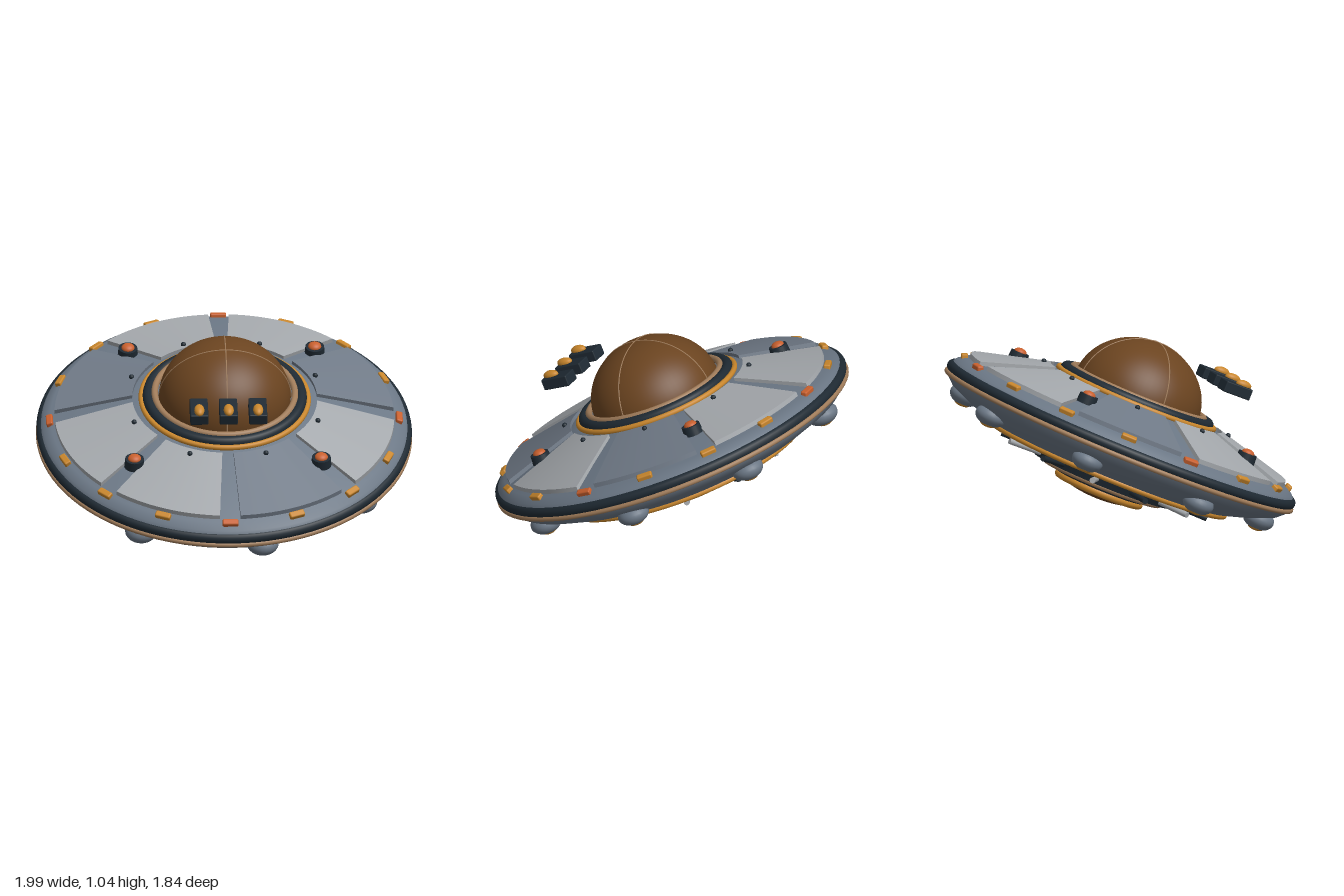
import * as THREE from 'three';
import { RoundedBoxGeometry } from 'three/addons/geometries/RoundedBoxGeometry.js';

const mat = (name, color) => {
  const m = new THREE.MeshStandardMaterial({ color });
  m.name = name;
  return m;
};

export function createModel() {
  const hullGrey = mat('hull grey', 0x6b7785);
  const panelLight = mat('light panel grey', 0xa3a7ab);
  const panelMid = mat('mid panel grey', 0x707a87);
  const dark = mat('dark slate', 0x1f2a33);
  const gold = mat('gold', 0xc8862c);
  const copper = mat('copper', 0xa07c5a);
  const orange = mat('signal orange', 0xc8602e);
  const amber = mat('amber glass', 0x6b4420);

  const model = new THREE.Group();
  model.name = 'saucer';
  const ship = new THREE.Group();
  ship.name = 'tiltedShip';
  ship.position.y = 0.493;
  ship.rotation.x = THREE.MathUtils.degToRad(24);
  model.add(ship);

  const add = (parent, name, geometry, material, x = 0, y = 0, z = 0) => {
    const mesh = new THREE.Mesh(geometry, material);
    mesh.name = name;
    mesh.position.set(x, y, z);
    parent.add(mesh);
    return mesh;
  };
  const ring = (name, radius, tube, y, material) => {
    const geometry = new THREE.TorusGeometry(radius, tube, 12, 96).rotateX(Math.PI / 2);
    return add(ship, name, geometry, material, 0, y, 0);
  };
  // Repeats a part around the axis; angles start at the front and run towards +x
  const around = (name, count, offset, build) => {
    for (let i = 0; i < count; i++) {
      const arm = new THREE.Group();
      arm.name = name;
      arm.rotation.y = THREE.MathUtils.degToRad(offset + (i * 360) / count);
      ship.add(arm);
      build(arm, i);
    }
  };
  const ellipsoid = (rx, ry, rz) => new THREE.SphereGeometry(1, 24, 16).scale(rx, ry, rz);

  // Hull: one turned profile from the belly over the rim to the top
  const profile = [
    [0, -0.19], [0.4, -0.19], [0.52, -0.18], [0.665, -0.158], [0.8, -0.115], [0.93, -0.06],
    [0.985, -0.01], [0.985, 0.04], [0.96, 0.072], [0.92, 0.1], [0.7, 0.166], [0.49, 0.223],
    [0.4, 0.24], [0, 0.24],
  ].map(([r, y]) => new THREE.Vector2(r, y));
  add(ship, 'hull', new THREE.LatheGeometry(profile, 96), hullGrey);
  ring('rimBand', 0.965, 0.03, 0.03, dark);
  ring('rimTrim', 0.983, 0.014, -0.002, copper);

  // Raised deck panels: boxes bent into ring sectors on the sloping deck
  const panelGeometry = () => {
    const g = new THREE.BoxGeometry(1, 1, 1, 14, 1, 4);
    const p = g.attributes.position;
    const half = THREE.MathUtils.degToRad(19);
    for (let i = 0; i < p.count; i++) {
      const a = p.getX(i) * 2 * half;
      const r = 0.695 + p.getZ(i) * 0.41;
      const y = 0.243 - (r - 0.49) * 0.275 + (p.getY(i) - 0.5) * 0.04;
      p.setXYZ(i, Math.sin(a) * r, y, Math.cos(a) * r);
    }
    g.computeVertexNormals();
    return g;
  };
  const midPanels = [0, 2, 5];
  around('deckPanel', 8, 22.5, (arm, i) => {
    add(arm, 'panel', panelGeometry(), midPanels.includes(i) ? panelMid : panelLight);
    add(arm, 'panelStud', new THREE.SphereGeometry(0.014, 12, 8), dark, 0, 0.237, 0.527);
  });

  // Lamps along the rim, with orange ones at the four quarters
  around('rimLamp', 16, 0, (arm, i) => {
    const lamp = add(arm, 'lamp', new RoundedBoxGeometry(0.084, 0.034, 0.036, 2, 0.008),
      i % 4 === 0 ? orange : gold, 0, 0.1, 0.925);
    lamp.rotation.x = 0.35;
  });

  // Four beacons on the deck diagonals
  around('beacon', 4, 45, (arm) => {
    add(arm, 'beaconBase', new THREE.CylinderGeometry(0.05, 0.054, 0.05, 24), dark, 0, 0.187, 0.7);
    add(arm, 'beaconLight', ellipsoid(0.035, 0.022, 0.035), orange, 0, 0.212, 0.7);
  });

  // Cockpit dome, its seams and collar rings
  const dome = new THREE.SphereGeometry(1, 64, 24, 0, Math.PI * 2, 0, Math.PI / 2);
  add(ship, 'cockpitDome', dome.scale(0.35, 0.31, 0.35), amber, 0, 0.247, 0);
  for (const turn of [0, Math.PI / 2]) {
    const seam = new THREE.TorusGeometry(1, 0.01, 6, 64, Math.PI).rotateY(turn);
    add(ship, 'domeSeam', seam.scale(0.35, 0.31, 0.35), copper, 0, 0.247, 0);
  }
  ring('collarGold', 0.442, 0.015, 0.24, gold);
  ring('collarDark', 0.405, 0.03, 0.252, dark);
  ring('collarCopper', 0.372, 0.018, 0.272, copper);

  // Three hovering control pods ahead of the dome
  for (const x of [-0.156, 0, 0.156]) {
    const pod = new THREE.Group();
    pod.name = 'controlPod';
    pod.position.set(x, 0.479, 0.443);
    ship.add(pod);
    add(pod, 'podBox', new RoundedBoxGeometry(0.096, 0.06, 0.16, 2, 0.006), dark);
    add(pod, 'podLight', ellipsoid(0.027, 0.024, 0.045), gold, 0, 0.036, 0.037);
  }

  // Landing pods under the rim
  around('landingPod', 8, 12, (arm) => {
    add(arm, 'podShell', ellipsoid(0.086, 0.057, 0.086), hullGrey, 0, -0.1, 0.85);
    add(arm, 'podLamp', ellipsoid(0.043, 0.018, 0.043), gold, 0, -0.145, 0.85);
  });

  // Belly: drive disc, rings, lens and alternating spokes
  ring('bellyRing', 0.667, 0.016, -0.163, gold);
  add(ship, 'driveDisc', new THREE.CylinderGeometry(0.41, 0.39, 0.05, 64), dark, 0, -0.21, 0);
  add(ship, 'driveHub', new THREE.CylinderGeometry(0.27, 0.24, 0.05, 64), dark, 0, -0.255, 0);
  ring('driveRingOuter', 0.325, 0.017, -0.24, copper);
  ring('driveRingInner', 0.228, 0.022, -0.283, gold);
  add(ship, 'driveLens', new THREE.SphereGeometry(1, 48, 24).scale(0.212, 0.055, 0.212), amber, 0, -0.277, 0);
  around('driveSpoke', 12, 0, (arm, i) => {
    const rod = new THREE.CylinderGeometry(0.016, 0.016, 0.21, 12).rotateX(Math.PI / 2);
    add(arm, 'spoke', rod, i % 2 ? dark : panelLight, 0, -0.207, 0.485);
  });

  return model;
}
